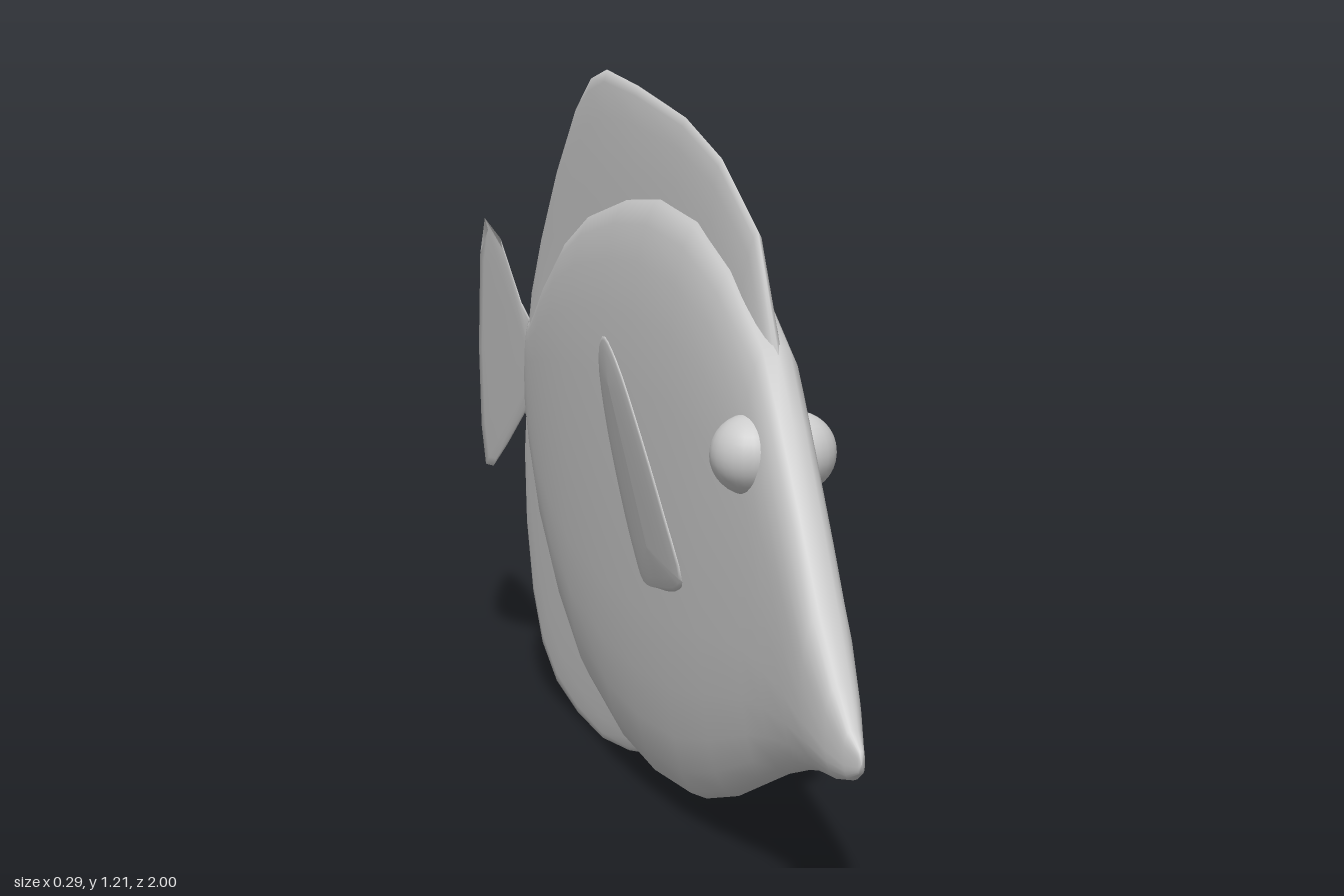
import * as THREE from 'three';

const material = new THREE.MeshStandardMaterial({ color: 0xcccccc, side: THREE.DoubleSide });

// Surface through a grid of points: rows x cols, optionally closed across columns
function gridSurface(name, rows, closed) {
  const cols = rows[0].length, position = [], index = [];
  rows.forEach(row => row.forEach(p => position.push(...p)));
  for (let r = 0; r < rows.length - 1; r++) {
    for (let c = 0; c < (closed ? cols : cols - 1); c++) {
      const a = r * cols + c, b = r * cols + (c + 1) % cols;
      index.push(a, a + cols, b, b, a + cols, b + cols);
    }
  }
  const geometry = new THREE.BufferGeometry();
  geometry.setAttribute('position', new THREE.Float32BufferAttribute(position, 3));
  geometry.setIndex(index);
  geometry.computeVertexNormals();
  const mesh = new THREE.Mesh(geometry, material);
  mesh.name = name;
  return mesh;
}

// Lens-like fin: each entry is [edge z, edge y, root z, root y]; thickest at the root
function fin(name, pairs, halfThickness, offsetX = () => 0) {
  const steps = [[0, 1], [0.35, 0.85], [0.7, 0.6], [0.92, 0.32], [1, 0]];
  const profile = [
    ...steps.map(([t, w]) => [t, w]),
    ...steps.slice(0, -1).reverse().map(([t, w]) => [t, -w]),
  ];
  const rows = pairs.map(([z, y, rz, ry]) => profile.map(([t, w]) => {
    const py = ry + (y - ry) * t;
    return [offsetX(py) + w * halfThickness, py, rz + (z - rz) * t];
  }));
  return gridSurface(name, rows, false);
}

// Body sections from snout to tail root: [z, top, bottom, half width]
const sections = [
  [1.0, 0.265, 0.265, 0], [0.998, 0.285, 0.25, 0.006], [0.97, 0.31, 0.234, 0.016],
  [0.93, 0.37, 0.225, 0.029], [0.87, 0.465, 0.222, 0.042], [0.8, 0.59, 0.205, 0.047],
  [0.72, 0.725, 0.178, 0.053], [0.65, 0.835, 0.148, 0.059], [0.5, 0.94, 0.083, 0.069],
  [0.35, 1.003, 0.038, 0.075], [0.17, 1.025, 0.03, 0.077], [0, 1.01, 0.05, 0.076],
  [-0.2, 0.965, 0.112, 0.069], [-0.35, 0.9, 0.21, 0.059], [-0.47, 0.82, 0.32, 0.046],
  [-0.55, 0.755, 0.425, 0.034], [-0.6, 0.722, 0.505, 0.025], [-0.63, 0.715, 0.53, 0.015],
  [-0.65, 0.715, 0.535, 0.004], [-0.652, 0.625, 0.625, 0],
];

function body() {
  const sides = 24;
  const bulge = v => Math.sign(v) * Math.abs(v) ** 0.74;
  const rows = sections.map(([z, top, bottom, w]) => Array.from({ length: sides }, (_, i) => {
    const a = i / sides * Math.PI * 2;
    return [w * bulge(Math.cos(a)), (top + bottom) / 2 + (top - bottom) / 2 * bulge(Math.sin(a)), z];
  }));
  return gridSurface('body', rows, true);
}

export function createModel() {
  const model = new THREE.Group();
  model.name = 'fish';
  model.add(body());

  // Fins along the back, belly and tail
  model.add(fin('dorsalFin', [
    [0.66, 0.82, 0.62, 0.78], [0.57, 1.0, 0.54, 0.87], [0.41, 1.1, 0.4, 0.95],
    [0.24, 1.155, 0.24, 0.98], [0, 1.195, 0.05, 0.98], [-0.17, 1.215, -0.1, 0.95],
    [-0.26, 1.195, -0.2, 0.92], [-0.35, 1.135, -0.3, 0.88], [-0.45, 1.03, -0.38, 0.84],
    [-0.55, 0.89, -0.47, 0.78], [-0.615, 0.775, -0.54, 0.73], [-0.62, 0.735, -0.57, 0.7],
  ], 0.021));
  model.add(fin('analFin', [
    [0.06, 0.04, 0.03, 0.08], [-0.05, 0.018, -0.02, 0.1], [-0.2, 0.003, -0.14, 0.14],
    [-0.35, 0.015, -0.25, 0.19], [-0.48, 0.045, -0.34, 0.25], [-0.57, 0.1, -0.41, 0.32],
    [-0.63, 0.19, -0.47, 0.38], [-0.67, 0.32, -0.52, 0.45], [-0.68, 0.45, -0.56, 0.51],
    [-0.665, 0.53, -0.59, 0.55], [-0.62, 0.56, -0.6, 0.56],
  ], 0.01));
  model.add(fin('tailFin', [
    [-0.6, 0.71, -0.6, 0.62], [-0.64, 0.718, -0.6, 0.62], [-0.7, 0.745, -0.6, 0.62],
    [-0.84, 0.855, -0.6, 0.62], [-0.95, 0.885, -0.6, 0.62], [-0.985, 0.81, -0.6, 0.62],
    [-1, 0.62, -0.6, 0.62], [-0.985, 0.46, -0.6, 0.62], [-0.955, 0.385, -0.6, 0.62],
    [-0.9, 0.39, -0.6, 0.62], [-0.8, 0.45, -0.6, 0.62], [-0.68, 0.53, -0.6, 0.62],
    [-0.6, 0.52, -0.6, 0.62],
  ], 0.005));

  // Side fins lean outward from the body around a central spine
  const outline = new THREE.CatmullRomCurve3([
    [0.45, 0.43], [0.41, 0.54], [0.35, 0.67], [0.29, 0.77], [0.245, 0.803], [0.2, 0.77],
    [0.177, 0.67], [0.185, 0.55], [0.21, 0.44], [0.24, 0.383], [0.32, 0.39], [0.42, 0.41],
  ].map(([z, y]) => new THREE.Vector3(0, y, z)), true);
  const pectoral = outline.getPoints(40).map(({ y, z }) => {
    const rootY = THREE.MathUtils.clamp(y, 0.46, 0.72);
    return [z, y, 0.31 - (rootY - 0.46) * 0.25, rootY];
  });

  for (const [side, s] of [['left', 1], ['right', -1]]) {
    model.add(fin(side + 'PectoralFin', pectoral, 0.007, y => s * (0.071 + (y - 0.38) * 0.17)));
    const eye = new THREE.Mesh(new THREE.SphereGeometry(0.063, 24, 16), material);
    eye.name = side + 'Eye';
    eye.position.set(s * 0.038, 0.665, 0.64);
    model.add(eye);
  }
  return model;
}
